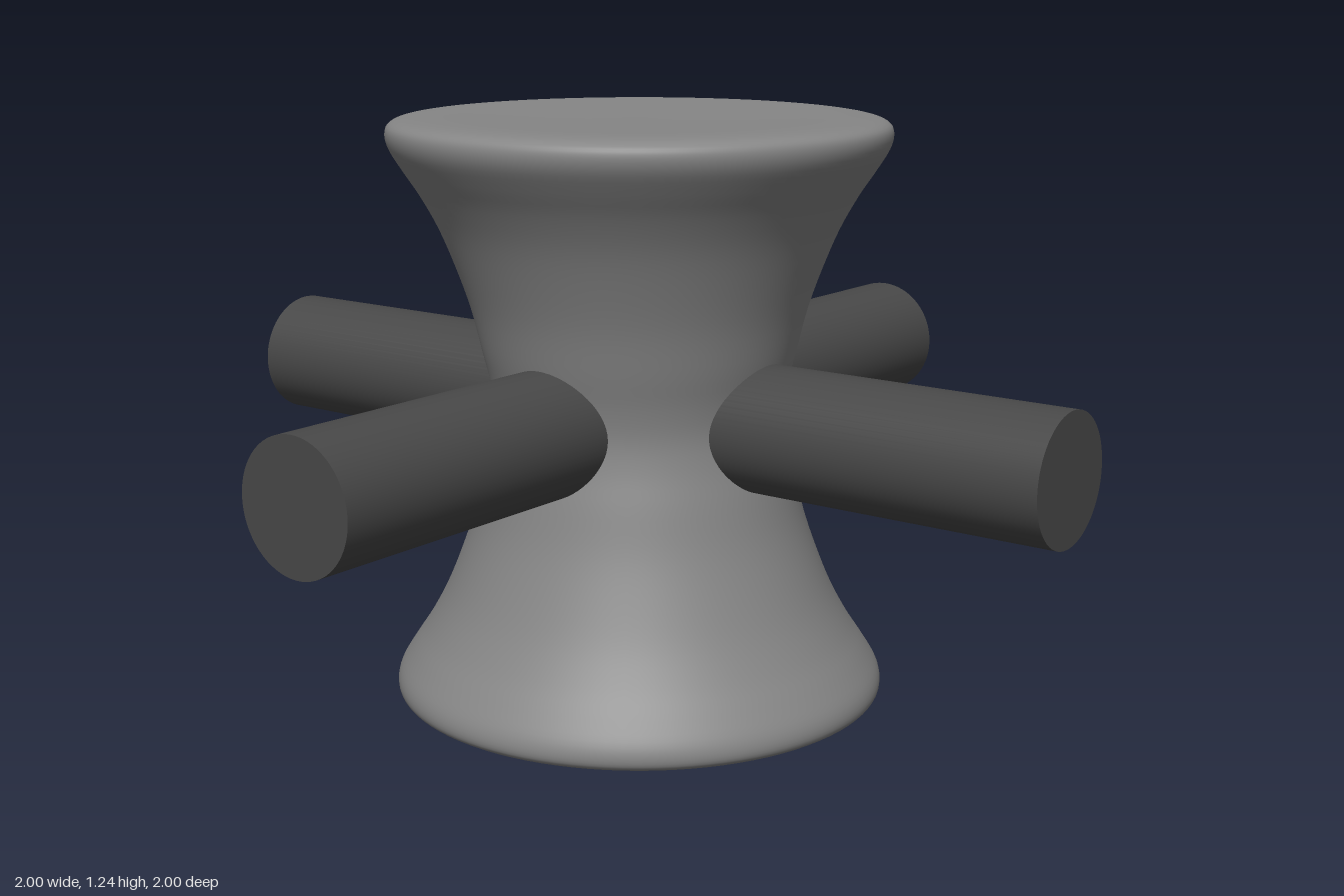
import * as THREE from 'three';

export function createModel() {
  const model = new THREE.Group();
  model.name = 'spoolWithCrossBars';

  const bodyGrey = new THREE.MeshStandardMaterial({ color: 0x868686 });
  bodyGrey.name = 'mid grey';
  const barGrey = new THREE.MeshStandardMaterial({ color: 0x484848 });
  barGrey.name = 'dark grey';

  const height = 1.245, middle = height / 2;

  // Waisted body: half profile from the bottom centre to the waist, mirrored upwards
  const half = [
    [0, 0.006], [0.25, 0.005], [0.4, 0.002], [0.47, 0.004], [0.508, 0.012], [0.522, 0.03],
    [0.517, 0.062], [0.49, 0.107], [0.455, 0.16], [0.417, 0.23], [0.382, 0.315],
    [0.353, 0.4], [0.331, 0.49], [0.314, 0.56],
  ];
  const profile = [
    ...half, [0.307, middle],
    ...half.slice().reverse().map(([r, y]) => [r, height - y]),
  ].map(([r, y]) => new THREE.Vector2(r, y));
  const curve = new THREE.SplineCurve(profile);
  const points = curve.getPoints(112);
  points.forEach((p) => { p.x = Math.max(p.x, 0); });
  const body = new THREE.Mesh(new THREE.LatheGeometry(points, 96), bodyGrey);
  body.name = 'waistedBody';
  model.add(body);

  // Two round bars crossing at the waist
  const barGeometry = new THREE.CylinderGeometry(0.133, 0.133, 2, 64);
  for (const [name, axis] of [['sideBar', 'z'], ['frontBackBar', 'x']]) {
    const bar = new THREE.Mesh(barGeometry, barGrey);
    bar.name = name;
    bar.rotation[axis] = Math.PI / 2;
    bar.position.y = 0.625;
    model.add(bar);
  }

  return model;
}
